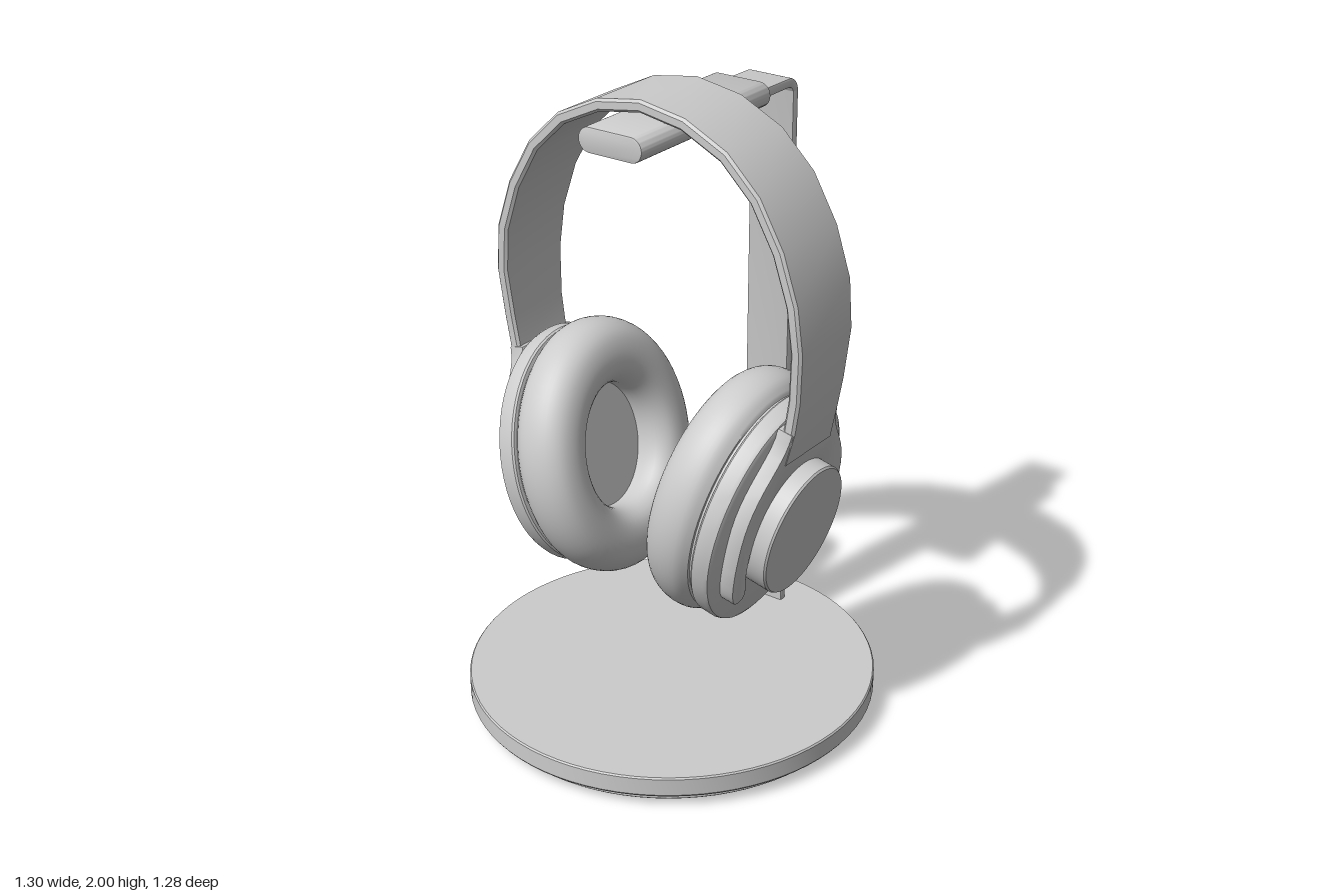
import * as THREE from 'three';
import { toCreasedNormals } from 'three/addons/utils/BufferGeometryUtils.js';

const grey = new THREE.MeshStandardMaterial({ color: 0xcccccc });
const CX = -0.016; // headphones sit slightly off centre
const TILT = THREE.MathUtils.degToRad(13);

function add(parent, name, geometry, crease = 0.6) {
  const mesh = new THREE.Mesh(toCreasedNormals(geometry, crease), grey);
  mesh.name = name;
  parent.add(mesh);
  return mesh;
}

const vectors = (pairs) => pairs.map(([a, b]) => new THREE.Vector2(a, b));

// Oval turned part whose axis runs along z; profile is [radius, z]
function oval(profile, squash = 0.86) {
  const g = new THREE.LatheGeometry(vectors(profile), 64);
  g.rotateX(Math.PI / 2);
  g.scale(squash, 1, 1);
  return g;
}

// Headband: a chamfered strip swept over an arch, narrowing towards the cups
function headbandGeometry() {
  // [z, y, half width] of the outer surface, from cup to crown
  const half = [
    [0.498, 1.008, 0.125], [0.522, 1.112, 0.118], [0.538, 1.21, 0.121], [0.55, 1.365, 0.134],
    [0.535, 1.51, 0.141], [0.485, 1.66, 0.142], [0.405, 1.8, 0.142], [0.295, 1.907, 0.142],
    [0.153, 1.975, 0.142],
  ];
  const path = [...half, [0, 2, 0.142], ...half.map(([z, y, w]) => [-z, y, w]).reverse()];
  const t = 0.038, c = 0.008, pos = [], index = [];
  path.forEach(([z, y, w], i) => {
    const a = path[Math.max(i - 1, 0)], b = path[Math.min(i + 1, path.length - 1)];
    const n = new THREE.Vector2(b[1] - a[1], -(b[0] - a[0])).normalize(); // (z, y) outward
    const section = [[w, c - t], [w, -c], [w - c, 0], [c - w, 0], [-w, -c], [-w, c - t], [c - w, -t], [w - c, -t]];
    for (const [x, d] of section) pos.push(x, y + n.y * d, z + n.x * d);
    if (i === 0) return;
    for (let j = 0; j < 8; j++) {
      const p = (i - 1) * 8 + j, q = (i - 1) * 8 + (j + 1) % 8;
      index.push(p, p + 8, q, q, p + 8, q + 8);
    }
  });
  const g = new THREE.BufferGeometry();
  g.setAttribute('position', new THREE.Float32BufferAttribute(pos, 3));
  g.setIndex(index);
  return g;
}

// Fork that grips the ear cup: half an outline, mirrored
function yokeGeometry() {
  const p = new THREE.Path();
  p.moveTo(0.115, 0.35);
  p.bezierCurveTo(0.125, 0.24, 0.25, 0.2, 0.25, 0.02);
  p.bezierCurveTo(0.25, -0.08, 0.235, -0.18, 0.205, -0.208);
  p.bezierCurveTo(0.19, -0.222, 0.155, -0.215, 0.165, -0.185);
  p.bezierCurveTo(0.185, -0.13, 0.195, -0.08, 0.19, 0);
  p.bezierCurveTo(0.185, 0.12, 0.09, 0.18, 0.005, 0.18);
  const half = p.getPoints(12);
  const mirrored = half.map((v) => new THREE.Vector2(-v.x, v.y)).reverse();
  const g = new THREE.ExtrudeGeometry(new THREE.Shape([...half, ...mirrored]), {
    depth: 0.04, bevelThickness: 0.006, bevelSize: 0.006, bevelSegments: 2,
  });
  g.translate(0, 0, 0.012);
  return g;
}

function earCup() {
  const cup = new THREE.Group();
  cup.name = 'earCup';

  // Soft cushion with a recessed opening
  const cushion = new THREE.SplineCurve(vectors([
    [0.2, -0.12], [0.2, -0.19], [0.235, -0.235], [0.29, -0.247], [0.35, -0.235],
    [0.388, -0.2], [0.404, -0.15], [0.398, -0.1], [0.372, -0.068],
  ])).getPoints(28).map((v) => [v.x, v.y]);
  add(cup, 'earCushion', oval([...cushion, [0, -0.06]]), 0.8);
  add(cup, 'speakerCover', oval([[0, -0.13], [0.21, -0.13], [0.21, -0.1], [0, -0.1]]));

  // Hard shell with a narrow groove next to the cushion
  add(cup, 'shell', oval([
    [0, -0.08], [0.362, -0.08], [0.362, -0.058], [0.374, -0.056], [0.379, -0.05],
    [0.379, -0.008], [0.374, 0.004], [0.362, 0.01], [0, 0.012],
  ]));
  add(cup, 'yoke', yokeGeometry());
  const cap = add(cup, 'outerCap', oval([
    [0, 0], [0.217, 0], [0.217, 0.108], [0.212, 0.114], [0, 0.114],
  ], 0.87));
  cap.position.y = -0.007;

  cup.position.set(0, 0.775, 0.383);
  cup.rotation.x = TILT;
  return cup;
}

export function createModel() {
  const model = new THREE.Group();
  model.name = 'headphonesOnStand';

  // Stand: two-step round base
  const base = add(model, 'base', new THREE.LatheGeometry(vectors([
    [0, 0], [0.603, 0], [0.61, 0.006], [0.61, 0.026], [0.63, 0.03], [0.645, 0.038],
    [0.65, 0.045], [0.65, 0.1], [0.646, 0.105], [0, 0.105],
  ]), 80), 0.5);
  base.scale.z = 0.982;

  // Bent flat strip: upright post and top arm
  const strip = new THREE.Shape();
  strip.moveTo(0.507, 0.09);
  strip.lineTo(0.533, 0.09);
  strip.lineTo(0.533, 1.865);
  strip.absarc(0.483, 1.865, 0.05, 0, Math.PI / 2);
  strip.lineTo(0.31, 1.917);
  strip.lineTo(0.31, 1.887);
  strip.lineTo(0.483, 1.887);
  strip.absarc(0.483, 1.863, 0.024, Math.PI / 2, 0, true);
  const post = new THREE.ExtrudeGeometry(strip, {
    depth: 0.146, bevelThickness: 0.004, bevelSize: 0.003, bevelOffset: -0.003, bevelSegments: 2,
  });
  post.translate(0, 0, -0.073);
  add(model, 'post', post);

  // Hanger bar with rounded long edges
  const r = 0.038, w = 0.11 - r;
  const section = new THREE.Shape();
  section.absarc(w, 0, r, -Math.PI / 2, Math.PI / 2);
  section.absarc(-w, 0, r, Math.PI / 2, Math.PI * 1.5);
  const bar = new THREE.ExtrudeGeometry(section, {
    depth: 0.617, bevelThickness: 0.004, bevelSize: 0.004, bevelOffset: -0.004, bevelSegments: 2,
  });
  bar.rotateY(Math.PI / 2);
  bar.translate(-0.286, 1.906, 0);
  add(model, 'hangerBar', bar);

  // Headphones
  const headphones = new THREE.Group();
  headphones.name = 'headphones';
  headphones.position.x = CX;
  model.add(headphones);
  add(headphones, 'headband', headbandGeometry(), 0.5);
  for (const turn of [0, Math.PI]) {
    const side = new THREE.Group();
    side.name = turn ? 'backEarpiece' : 'frontEarpiece';
    side.rotation.y = turn;
    side.add(earCup());
    headphones.add(side);
  }
  return model;
}
